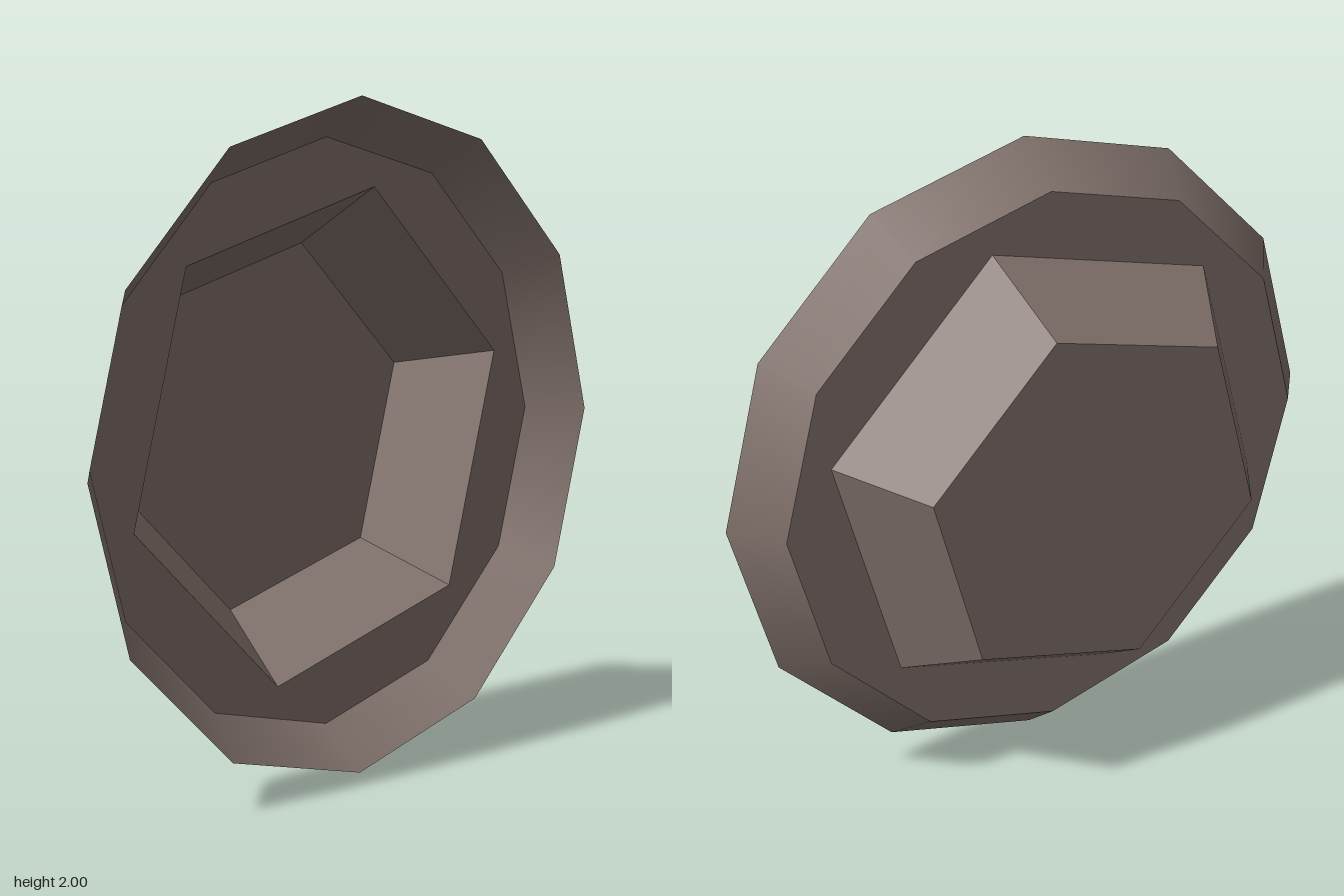
import * as THREE from 'three';

// Open dish: twelve-sided rim, flat flange and a six-sided recessed cup, axis along x
export function createModel() {
  const group = new THREE.Group();
  const brown = new THREE.MeshStandardMaterial({ color: 0x85756f, side: THREE.DoubleSide });
  brown.name = 'warm grey brown';

  const X_FRONT = 0.208, X_FLANGE = 0.06, X_BACK = -0.208;
  const CUP_TURN = Math.PI / 12;

  function add(name, geometry) {
    const mesh = new THREE.Mesh(geometry, brown);
    mesh.name = name;
    mesh.position.y = 1;
    group.add(mesh);
  }

  // Sloping band between two radii, opening toward +x
  function band(rFront, rBack, xFront, xBack, sides, turn) {
    const g = new THREE.CylinderGeometry(rFront, rBack, xFront - xBack, sides, 1, true, turn);
    g.rotateZ(-Math.PI / 2);
    g.translate((xFront + xBack) / 2, 0, 0);
    return g;
  }

  // Polygon corners in the plane across the axis (shape x is -z)
  function corners(radius, sides, turn) {
    return Array.from({ length: sides }, (_, i) => {
      const a = turn + (i / sides) * Math.PI * 2;
      return new THREE.Vector2(-radius * Math.cos(a), -radius * Math.sin(a));
    });
  }

  function plate(shape, x) {
    const g = new THREE.ShapeGeometry(shape);
    g.rotateY(Math.PI / 2);
    g.translate(x, 0, 0);
    return g;
  }

  // Smooth flared rim
  add('rim', band(1, 0.88, X_FRONT, X_FLANGE, 12, 0));

  // Flat flange with a hexagonal opening
  const flange = new THREE.Shape(corners(0.88, 12, 0));
  flange.holes.push(new THREE.Path(corners(0.755, 6, CUP_TURN)));
  add('flange', plate(flange, X_FLANGE));

  // Faceted cup walls
  const walls = band(0.755, 0.57, X_FLANGE, X_BACK, 6, CUP_TURN).toNonIndexed();
  walls.computeVertexNormals();
  add('cupWalls', walls);

  // Cup floor
  add('cupFloor', plate(new THREE.Shape(corners(0.57, 6, CUP_TURN)), X_BACK));

  return group;
}
